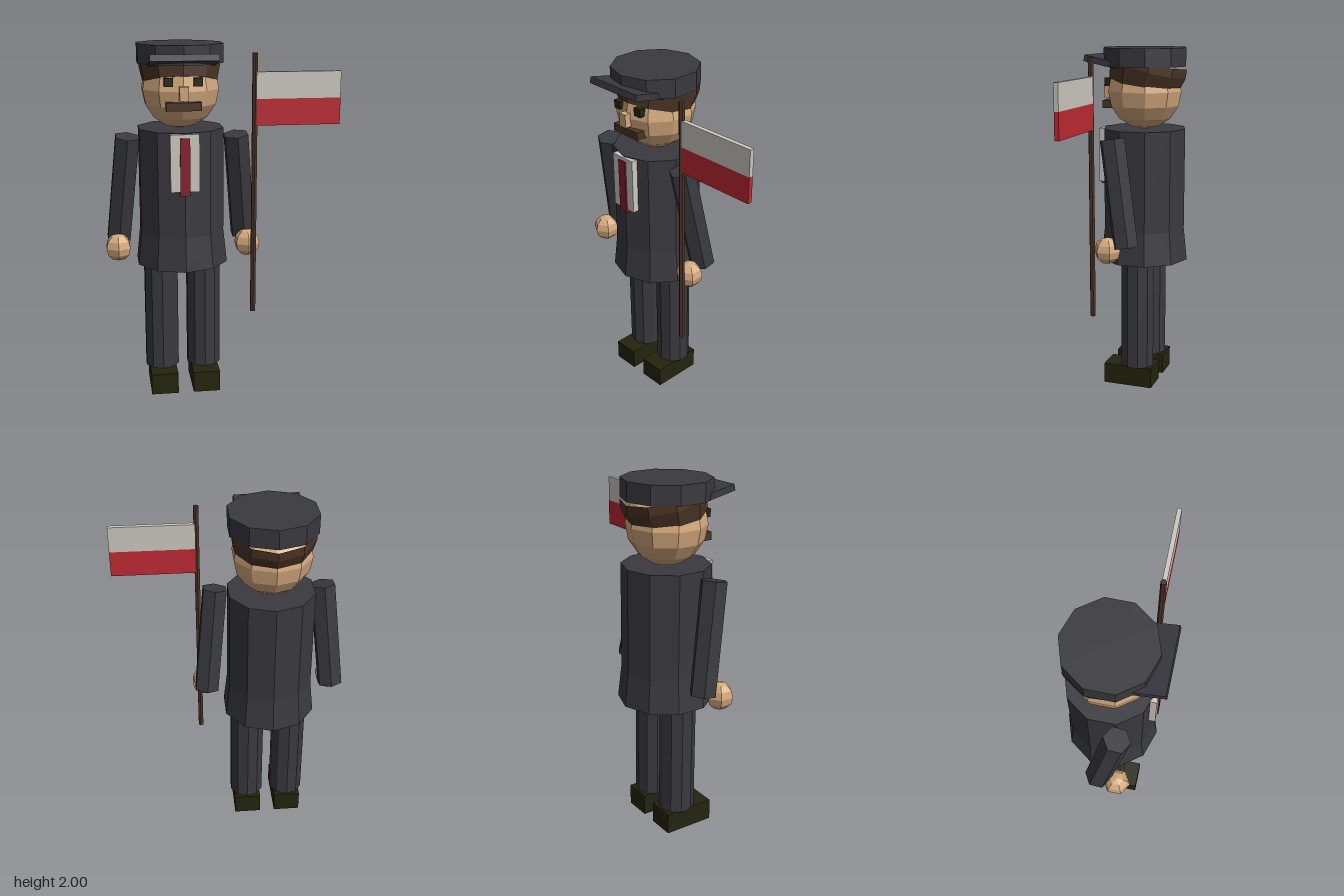
import * as THREE from 'three';

const CX = -0.217, CZ = -0.02; // body axis

function material(name, color) {
  const m = new THREE.MeshStandardMaterial({ color, flatShading: true });
  m.name = name;
  return m;
}

export function createModel() {
  const cloth = material('charcoal cloth', 0x3a393f);
  const skin = material('skin', 0xd3a87e);
  const brown = material('brown hair', 0x4c3526);
  const wood = material('pole wood', 0x4c3529);
  const olive = material('dark olive', 0x24240e);
  const white = material('off white', 0xcbc8c0);
  const red = material('flag red', 0xbd2a33);
  const wine = material('wine red', 0x85202f);

  const model = new THREE.Group();
  model.name = 'flagBearer';

  const add = (name, geometry, mat, x, y, z) => {
    const mesh = new THREE.Mesh(geometry, mat);
    mesh.name = name;
    mesh.position.set(x, y, z);
    model.add(mesh);
    return mesh;
  };
  const box = (name, mat, w, h, d, x, y, z) =>
    add(name, new THREE.BoxGeometry(w, h, d), mat, x, y, z);
  const column = (name, mat, rTop, rBottom, y0, y1, x, z, sides = 10) =>
    add(name, new THREE.CylinderGeometry(rTop, rBottom, y1 - y0, sides), mat, x, (y0 + y1) / 2, z);
  // Low-poly ball with a corner facing forward
  const ball = (name, mat, r, sides, rows, x, y, z) =>
    add(name, new THREE.SphereGeometry(r, sides, rows).rotateY(Math.PI / 2), mat, x, y, z);

  // Coat and cap
  column('coat', cloth, 0.245, 0.245, 0.955, 1.54, CX, CZ);
  column('coatSkirt', cloth, 0.245, 0.266, 0.765, 0.955, CX, CZ);
  column('cap', cloth, 0.245, 0.245, 1.895, 2.0, CX, CZ);
  box('capBrim', cloth, 0.363, 0.035, 0.2, CX, 1.922, 0.186).rotation.x = -0.21;

  // Shirt front and tie
  box('shirtFront', white, 0.158, 0.315, 0.06, CX, 1.378, 0.205);
  box('tie', wine, 0.054, 0.315, 0.04, CX, 1.358, 0.223);

  // Head with hair band tilted down at the back
  ball('head', skin, 0.22, 10, 8, CX, 1.755, CZ);
  const hairProfile = [[0.12, -0.1], [0.21, -0.1], [0.232, 0], [0.226, 0.05]]
    .map(([r, y]) => new THREE.Vector2(r, y));
  const hair = add('hair', new THREE.LatheGeometry(hairProfile, 10), brown, CX, 1.885, -0.038);
  hair.rotation.x = -0.25;

  // Face
  box('nose', skin, 0.048, 0.075, 0.07, CX, 1.748, 0.19);
  box('moustache', brown, 0.19, 0.045, 0.06, CX, 1.678, 0.176);

  // Paired parts: eyes, legs, shoes, arms, hands
  for (const [side, s] of [['left', 1], ['right', -1]]) {
    box(side + 'Eye', olive, 0.048, 0.045, 0.05, CX + s * 0.079, 1.806, 0.166);
    column(side + 'Leg', cloth, 0.1, 0.1, 0.122, 0.78, CX + s * 0.123, CZ);
    box(side + 'Shoe', olive, 0.155, 0.122, 0.295, CX + s * 0.122, 0.061, 0.018);

    const shoulder = new THREE.Vector3(CX + s * 0.3, 1.505, 0.073);
    const wrist = new THREE.Vector3(CX + s * 0.359, 0.905, -0.028);
    const along = shoulder.clone().sub(wrist);
    const mid = shoulder.clone().add(wrist).multiplyScalar(0.5);
    const arm = add(side + 'Arm', new THREE.CylinderGeometry(0.074, 0.074, along.length(), 6),
      cloth, mid.x, mid.y, mid.z);
    arm.quaternion.setFromUnitVectors(new THREE.Vector3(0, 1, 0), along.normalize());

    ball(side + 'Hand', skin, 0.077, 6, 6, CX + s * 0.366, 0.88, 0.08);
  }

  // Flag on its pole
  column('flagPole', wood, 0.016, 0.016, 0.49, 1.955, 0.172, 0.162, 6);
  box('flagUpperStripe', white, 0.465, 0.145, 0.025, 0.413, 1.782, 0.16);
  box('flagLowerStripe', red, 0.465, 0.145, 0.025, 0.413, 1.637, 0.16);

  return model;
}
